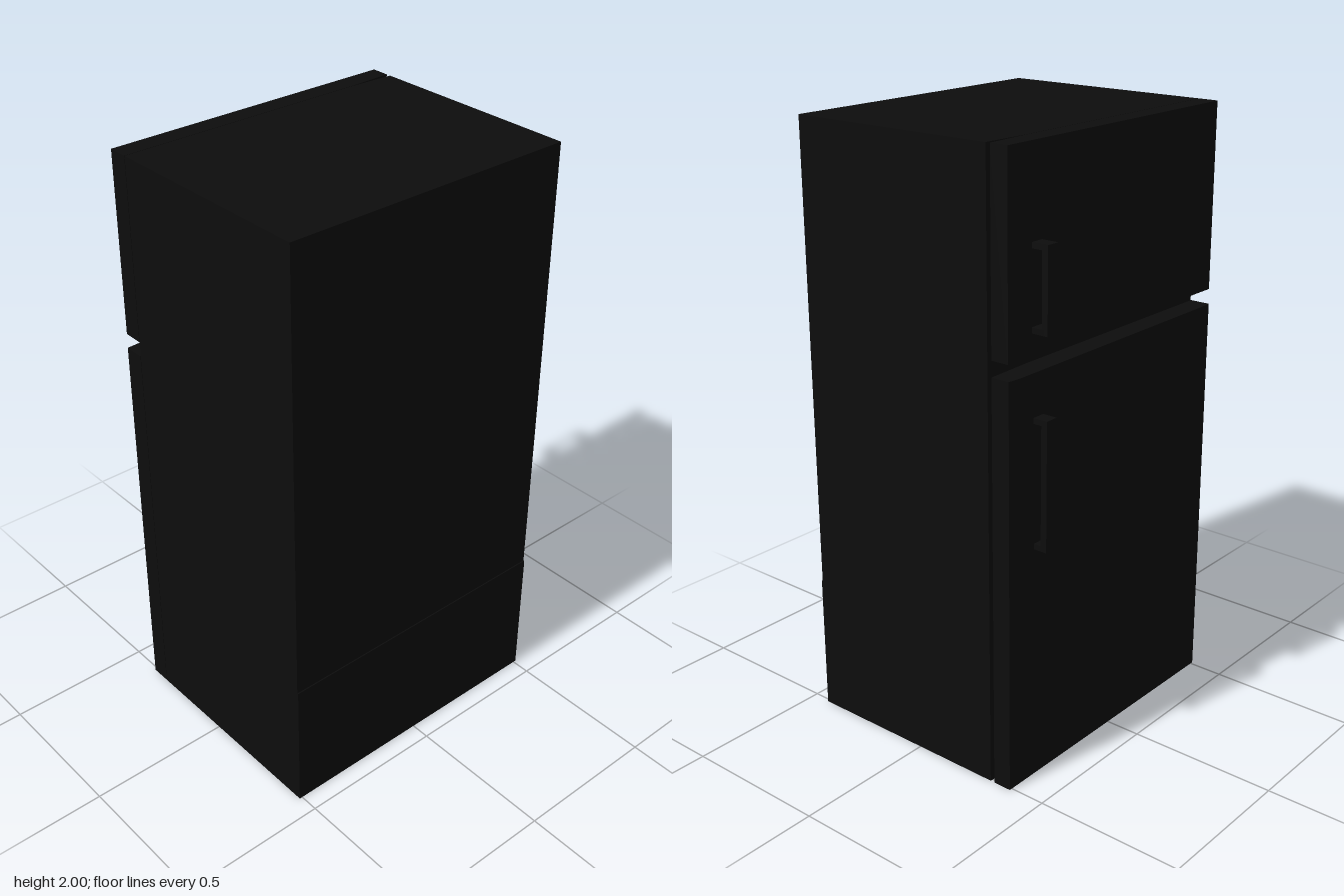
import * as THREE from 'three';

const HALF_W = 0.51;

// Extrude a plan outline of [x, z] points upward from y0 to y1
function plan(points, y0, y1, steps = 1) {
  const shape = new THREE.Shape(points.map(([x, z]) => new THREE.Vector2(x, -z)));
  const geo = new THREE.ExtrudeGeometry(shape, { depth: y1 - y0, steps, bevelEnabled: false });
  return geo.rotateX(-Math.PI / 2).translate(0, y0, 0);
}

export function createModel() {
  const group = new THREE.Group();
  group.name = 'refrigerator';
  const black = new THREE.MeshStandardMaterial({ color: 0x0d0d0d });
  black.name = 'black enamel';

  const add = (name, geo, parent = group) => {
    const mesh = new THREE.Mesh(geo, black);
    mesh.name = name;
    parent.add(mesh);
    return mesh;
  };
  const box = (name, w, h, d, x, y, z, parent) =>
    add(name, new THREE.BoxGeometry(w, h, d), parent).position.set(x, y, z);

  // Cabinet, its door side falling away slightly near the opening edge
  add('cabinet', plan([
    [-HALF_W, 0.431], [HALF_W, 0.431], [HALF_W, -0.302], [0.35, -0.309], [-HALF_W, -0.309],
  ], 0, 2));

  // Slightly proud lower panel on the side opposite the doors
  box('lowerPanel', HALF_W * 2, 0.46, 0.006, 0, 0.23, 0.432);

  // Freezer door: a flat slab
  add('freezerDoor', plan([
    [-HALF_W, -0.311], [0.35, -0.311], [HALF_W, -0.317], [HALF_W, -0.378], [-HALF_W, -0.378],
  ], 1.39, 2));

  // Main door: face bulges gently, most at about a third of its height
  const main = plan([
    [-HALF_W, -0.311], [0.35, -0.311], [HALF_W, -0.317], [HALF_W, -0.38],
    [0.46, -0.392], [-0.46, -0.387], [-HALF_W, -0.38],
  ], 0, 1.34, 6);
  const pos = main.attributes.position;
  for (let i = 0; i < pos.count; i++) {
    const y = pos.getY(i), z = pos.getZ(i);
    const bulge = y < 0.45 ? y / 0.45 : 1 - 0.6 * (y - 0.45) / 0.89;
    if (z < -0.381) pos.setZ(i, -0.38 + (z + 0.38) * bulge);
  }
  main.computeVertexNormals();
  add('mainDoor', main);

  // Square bracket handles beside the opening edge
  for (const [name, y0, y1] of [['freezerHandle', 1.457, 1.72], ['mainHandle', 0.79, 1.205]]) {
    const handle = new THREE.Group();
    handle.name = name;
    group.add(handle);
    const x = 0.384, w = 0.044, t = 0.018;
    box('grip', w, y1 - y0, 0.021, x, (y0 + y1) / 2, -0.4245, handle);
    for (const y of [y0 + t / 2, y1 - t / 2]) box('bracket', w, t, 0.05, x, y, -0.395, handle);
  }
  return group;
}
